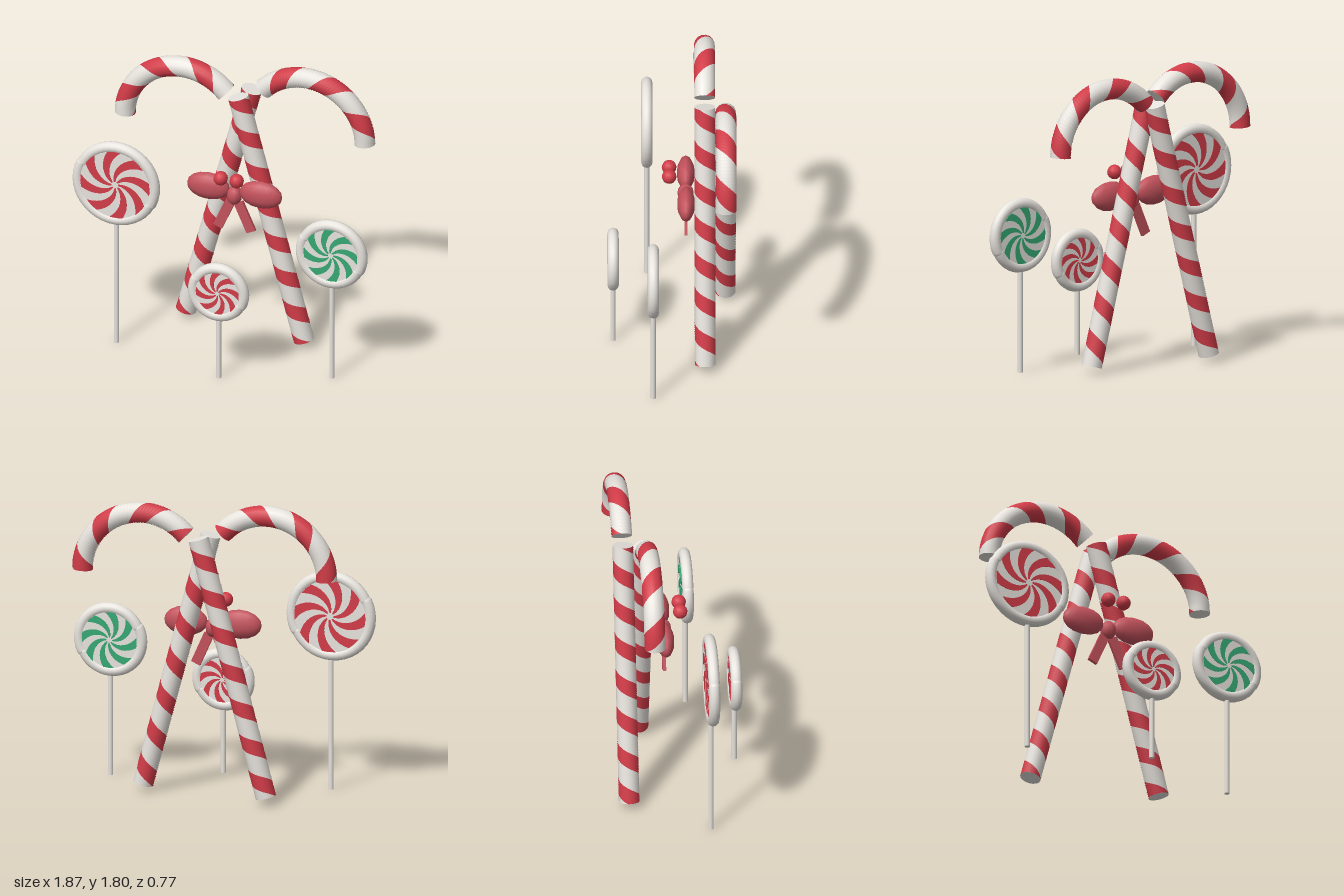
import * as THREE from 'three';

const mat = (name, color, side = THREE.FrontSide) => {
  const m = new THREE.MeshStandardMaterial({ color, side });
  m.name = name;
  return m;
};

export function createModel() {
  const group = new THREE.Group();
  const white = mat('sugar white', 0xf0ece6);
  const red = mat('candy red', 0xd23c48);
  const bowRed = mat('bow red', 0xc4525c);
  const green = mat('mint green', 0x36a873);

  const add = (parent, name, geometry, material, x = 0, y = 0, z = 0) => {
    const mesh = new THREE.Mesh(geometry, material);
    mesh.name = name;
    mesh.position.set(x, y, z);
    parent.add(mesh);
    return mesh;
  };

  // Tube whose columns twist along the curve, so each stripe is a run of columns
  function stripedTube(parent, name, curve, radius, hand, period, start) {
    const length = curve.getLength();
    const rings = Math.ceil((length / period) * 16), cols = 16, redCols = 7;
    const pos = [], nor = [], redFaces = [], whiteFaces = [];
    const front = new THREE.Vector3(0, 0, 1);
    for (let i = 0; i <= rings; i++) {
      const p = curve.getPointAt(i / rings);
      const side = curve.getTangentAt(i / rings).cross(front).normalize();
      const twist = (hand * (length * i / rings - start)) / period;
      for (let j = 0; j <= cols; j++) {
        const a = 2 * Math.PI * (twist + (j - redCols / 2) / cols);
        const n = side.clone().multiplyScalar(Math.sin(a)).addScaledVector(front, Math.cos(a));
        nor.push(n.x, n.y, n.z);
        pos.push(p.x + n.x * radius, p.y + n.y * radius, p.z + n.z * radius);
        if (i < rings && j < cols) {
          const v = i * (cols + 1) + j, w = v + cols + 1;
          (j < redCols ? redFaces : whiteFaces).push(v, v + 1, w, v + 1, w + 1, w);
        }
      }
    }
    const g = new THREE.BufferGeometry();
    g.setAttribute('position', new THREE.Float32BufferAttribute(pos, 3));
    g.setAttribute('normal', new THREE.Float32BufferAttribute(nor, 3));
    g.setIndex([...redFaces, ...whiteFaces]);
    g.addGroup(0, redFaces.length, 0);
    g.addGroup(redFaces.length, whiteFaces.length, 1);
    add(parent, name, g, [red, white]);
    // End caps
    for (const [t, dir] of [[0, -1], [1, 1]]) {
      const p = curve.getPointAt(t);
      const cap = add(parent, name + 'Cap', new THREE.CircleGeometry(radius, 16), white, p.x, p.y, p.z);
      cap.lookAt(p.clone().addScaledVector(curve.getTangentAt(t), dir));
    }
  }

  // Two crossed canes; side is the direction of the hook
  for (const [side, z] of [[1, -0.002], [-1, 0.122]]) {
    const cane = new THREE.Group();
    cane.name = side > 0 ? 'leftHookCane' : 'rightHookCane';
    const stem = new THREE.LineCurve3(
      new THREE.Vector3(-0.4 * side, 0.045, z), new THREE.Vector3(0.02 * side, 1.605, z));
    stripedTube(cane, 'stem', stem, 0.063, -1, 0.231, 0.217);
    const arc = [], R = 0.372;
    for (let i = 0; i <= 16; i++) {
      const a = THREE.MathUtils.degToRad(42.5 + (137.5 * i) / 16);
      arc.push(new THREE.Vector3(side * (0.37 - R * Math.cos(a)), 1.37 + R * Math.sin(a), z));
    }
    stripedTube(cane, 'hook', new THREE.CatmullRomCurve3(arc), 0.063, -side, 0.286, 0.146);
    group.add(cane);
  }

  // Curved swirl arm, cut right through the disc
  function swirlArm(r, depth) {
    const at = (t, half) => {
      const a = -0.95 * t + half;
      return new THREE.Vector2(Math.cos(a) * r * t, Math.sin(a) * r * t);
    };
    const edge = [], back = [], steps = 8;
    for (let i = 0; i <= steps; i++) {
      const t = 0.1 + (0.9 * i) / steps;
      edge.push(at(t, -0.19));
      back.unshift(at(t, 0.19));
    }
    const g = new THREE.ExtrudeGeometry(new THREE.Shape([...edge, at(1, 0), ...back]),
      { depth, bevelEnabled: false });
    return g.translate(0, 0, -depth / 2);
  }

  // Lollipops: stick, disc, swirl and a rim rolled from two offset halves
  function lollipop(name, x, y, z, R, color) {
    const pop = new THREE.Group();
    pop.name = name;
    const tube = 0.034, ring = R - tube - 0.004, half = 0.025;
    const stickTop = y - R + 0.03;
    add(pop, 'stick', new THREE.CylinderGeometry(0.016, 0.016, stickTop, 12), white, x, stickTop / 2, z);
    const disc = new THREE.CylinderGeometry(ring, ring, half * 2, 32).rotateX(Math.PI / 2);
    add(pop, 'disc', disc, white, x, y, z);
    for (let i = 0; i < 8; i++) {
      const arm = add(pop, 'swirl', swirlArm(ring - 0.018, half * 2 + 0.006), color, x, y, z);
      arm.rotation.z = (i * Math.PI) / 4 + 0.2;
    }
    for (const [from, shift] of [[-0.45, 0.004], [-0.45 + Math.PI, -0.006]]) {
      const rim = new THREE.TorusGeometry(ring, tube, 12, 20, Math.PI - 0.02);
      add(pop, 'rim', rim, white, x + shift, y + shift * 0.6, z).rotation.z = from;
      // Rounded rim ends
      for (const a of [from, from + Math.PI - 0.02]) {
        add(pop, 'rimEnd', new THREE.SphereGeometry(tube * 0.97, 12, 8), white,
          x + shift + ring * Math.cos(a), y + shift * 0.6 + ring * Math.sin(a), z);
      }
    }
    group.add(pop);
  }
  lollipop('largeLollipop', -0.667, 1.07, 0.465, 0.277, red);
  lollipop('greenLollipop', 0.697, 0.833, 0.433, 0.227, green);
  lollipop('smallLollipop', 0.065, 0.575, 0.67, 0.193, red);

  // Bow with berries
  const bow = new THREE.Group();
  bow.name = 'bow';
  for (const s of [-1, 1]) {
    const loop = new THREE.SphereGeometry(1, 10, 8).rotateZ(Math.PI / 2).scale(0.135, 0.09, 0.054);
    add(bow, 'loop', loop, bowRed, s * 0.168, 1.035, 0.235);
    add(bow, 'tail', new THREE.BoxGeometry(0.06, 0.2, 0.02), bowRed, s * 0.066, 0.868, 0.235)
      .rotation.z = s * 0.42;
    add(bow, 'berry', new THREE.SphereGeometry(0.044, 12, 8), red, s * 0.051, 1.155, 0.335);
  }
  add(bow, 'knot', new THREE.SphereGeometry(1, 10, 8).scale(0.047, 0.06, 0.05), bowRed, 0, 1.003, 0.237);
  group.add(bow);

  return group;
}
